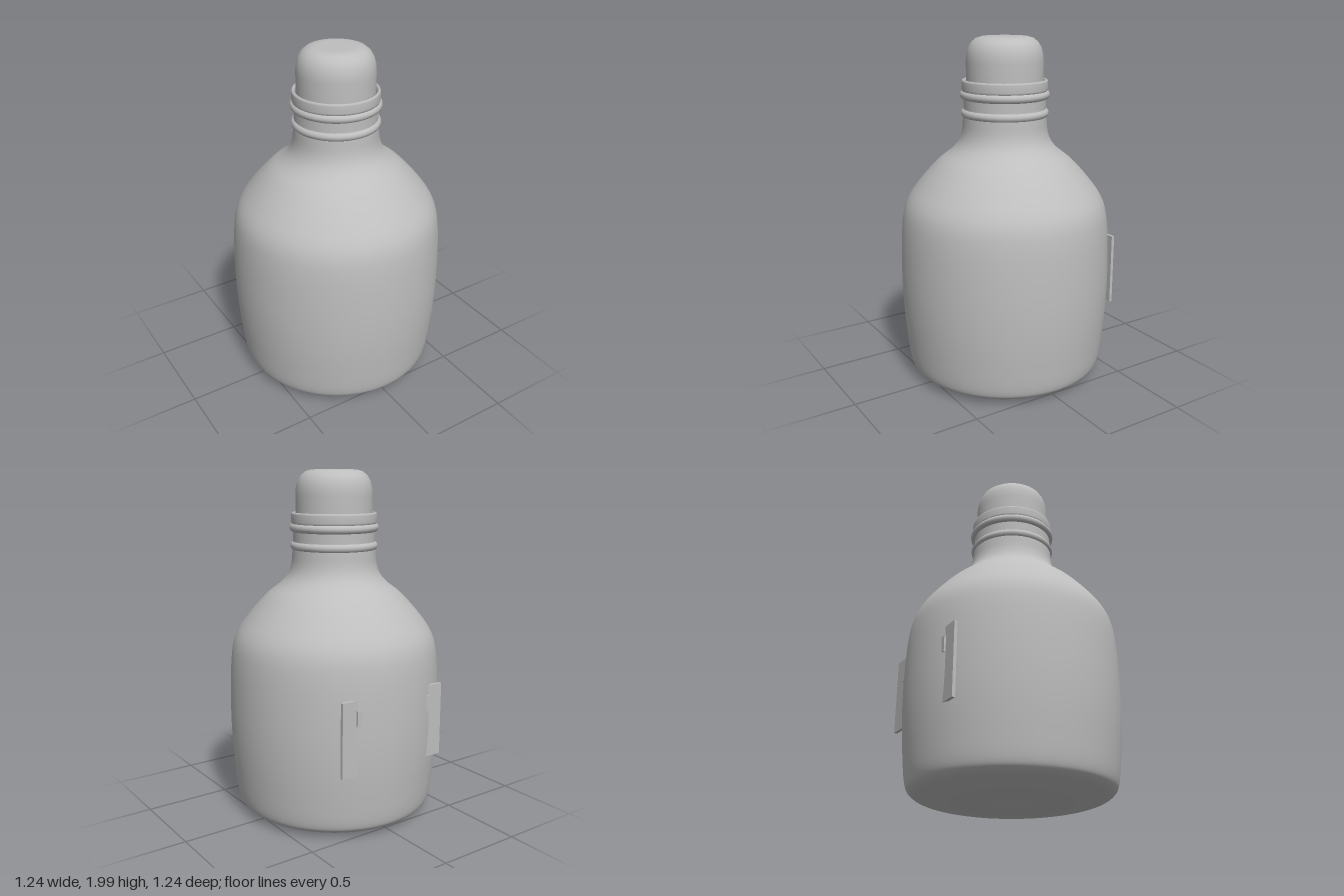
import * as THREE from 'three';

const SEGMENTS = 72;

// Surface of revolution from [radius, height] pairs, optionally smoothed by a spline
function lathe(pairs, samples = 0) {
  let points = pairs.map(([r, y]) => new THREE.Vector2(r, y));
  if (samples) points = new THREE.SplineCurve(points).getPoints(samples);
  points.forEach((p) => { p.x = Math.max(p.x, 0); });
  return new THREE.LatheGeometry(points, SEGMENTS);
}

export function createModel() {
  const model = new THREE.Group();
  const grey = new THREE.MeshStandardMaterial({ color: 0xbebebe });
  grey.name = 'plain grey';

  function add(name, geometry, x = 0, y = 0, z = 0) {
    const mesh = new THREE.Mesh(geometry, grey);
    mesh.name = name;
    mesh.position.set(x, y, z);
    model.add(mesh);
    return mesh;
  }

  // Round body, shoulder and lower neck
  add('bottleBody', lathe([
    [0, 0.02], [0.08, 0.012], [0.25, 0.006], [0.4, 0.012], [0.5, 0.025],
    [0.556, 0.05], [0.582, 0.1], [0.6, 0.25], [0.613, 0.42], [0.618, 0.6],
    [0.614, 0.8], [0.604, 0.94], [0.587, 1.03], [0.555, 1.1], [0.5, 1.175],
    [0.44, 1.245], [0.38, 1.305], [0.31, 1.36], [0.268, 1.41], [0.247, 1.47],
    [0.24, 1.55], [0.236, 1.6],
  ], 110));

  // Straight neck wall and flat-topped collar
  add('neck', new THREE.CylinderGeometry(0.236, 0.236, 0.16, SEGMENTS, 1, true), 0, 1.63, 0);
  add('collar', lathe([
    [0.23, 1.69], [0.243, 1.695], [0.246, 1.71], [0.246, 1.75], [0.243, 1.759],
    [0.236, 1.762], [0.228, 1.758], [0.224, 1.745], [0.222, 1.7],
  ]));

  // Two raised neck rings
  for (const [name, radius, y] of [['lowerRing', 0.227, 1.573], ['upperRing', 0.232, 1.677]]) {
    const ring = new THREE.TorusGeometry(radius, 0.025, 14, SEGMENTS);
    ring.rotateX(Math.PI / 2);
    add(name, ring, 0, y, 0);
  }

  // Domed cap with a flat top
  add('cap', lathe([
    [0.22, 1.68], [0.22, 1.78], [0.22, 1.86], [0.217, 1.9], [0.207, 1.938],
    [0.189, 1.968], [0.163, 1.989], [0.13, 1.999], [0.1, 2], [0, 2],
  ]));

  // Flat back plates whose ends stand out from the curved body
  add('backPlate', new THREE.BoxGeometry(0.69, 0.42, 0.018), 0, 0.61, -0.553);
  add('backPlateDetail', new THREE.BoxGeometry(0.51, 0.09, 0.012), 0, 0.72, -0.566);

  return model;
}
